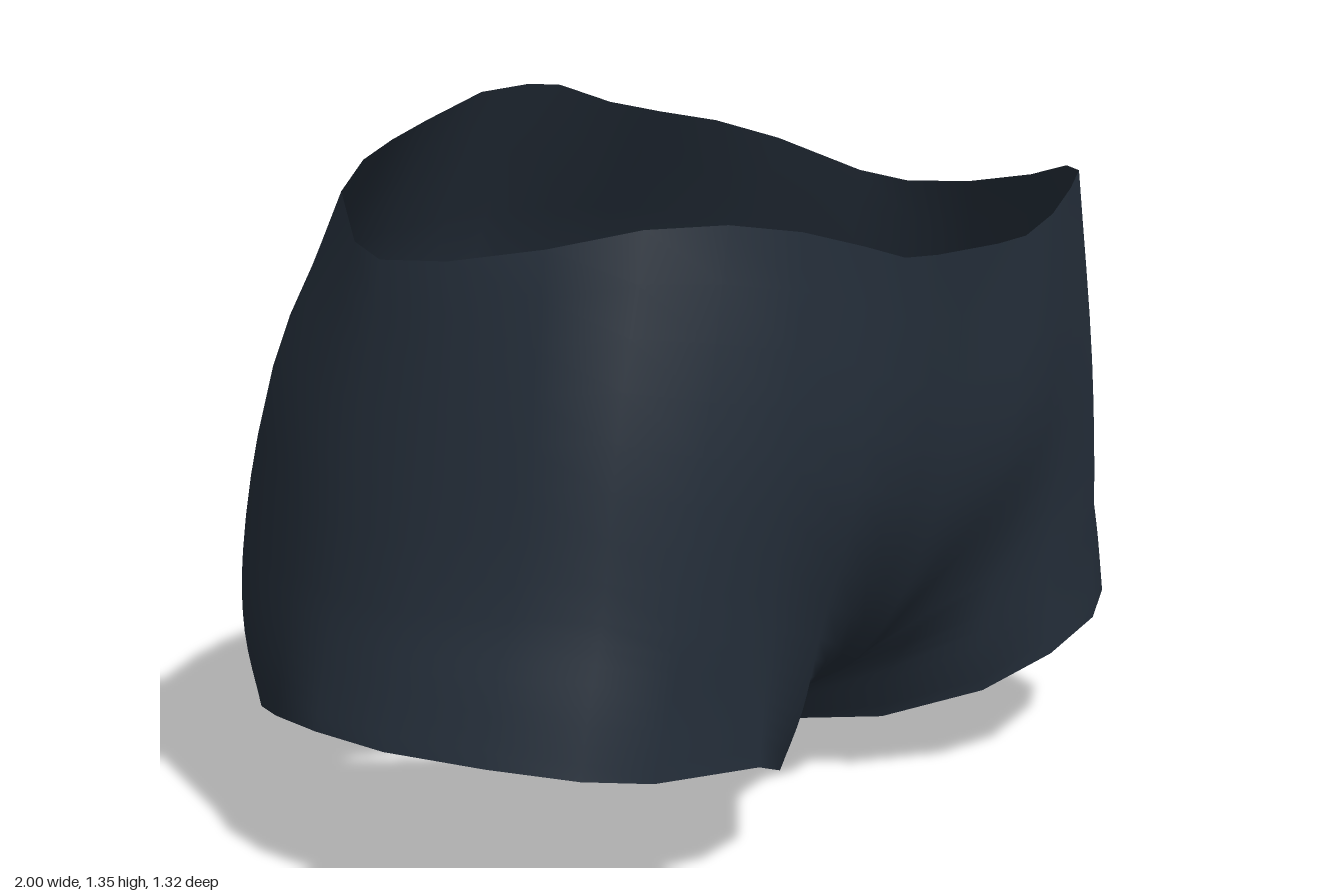
import * as THREE from 'three';
import { mergeVertices } from 'three/addons/utils/BufferGeometryUtils.js';

// Half cross-sections, each running front centre -> left side -> back centre.
const waist = [
  [0, 1.1, .657], [.1, 1.1, .657], [.2, 1.105, .655], [.31, 1.135, .645], [.44, 1.17, .605],
  [.57, 1.19, .545], [.68, 1.185, .45], [.77, 1.15, .31], [.82, 1.12, .13], [.82, 1.11, -.03],
  [.78, 1.13, -.13], [.67, 1.2, -.27], [.54, 1.243, -.34], [.41, 1.268, -.39], [.28, 1.295, -.42],
  [.12, 1.34, -.42], [0, 1.35, -.4],
];
const hips = [
  [0, .62, .6], [.09, .63, .607], [.19, .67, .627], [.3, .71, .63], [.46, .77, .592],
  [.64, .8, .545], [.76, .83, .455], [.83, .82, .32], [.88, .78, .13], [.88, .78, -.05],
  [.84, .79, -.2], [.735, .82, -.41], [.56, .83, -.575], [.41, .84, -.63], [.25, .84, -.635],
  [.1, .82, -.61], [0, .8, -.59],
];
const seat = [
  [0, .28, .41], [.06, .31, .425], [.15, .36, .48], [.29, .41, .54], [.47, .47, .56],
  [.68, .5, .535], [.8, .53, .455], [.88, .53, .32], [.93, .52, .13], [.925, .52, -.05],
  [.88, .53, -.21], [.775, .52, -.445], [.59, .48, -.605], [.43, .46, -.643], [.26, .45, -.64],
  [.1, .41, -.56], [0, .31, -.38],
];
const crotch = [
  [0, .11, .04], [.04, .155, .19], [.16, .23, .39], [.3, .27, .51], [.475, .34, .555],
  [.7, .36, .52], [.835, .39, .455], [.92, .4, .32], [.965, .4, .13], [.955, .4, -.05],
  [.905, .4, -.21], [.795, .37, -.425], [.59, .31, -.555], [.42, .28, -.575], [.24, .26, -.54],
  [.09, .22, -.35], [0, .11, .04],
];
const hem = [
  [.05, 0, .03], [.08, .1, .13], [.19, .12, .35], [.34, .165, .49], [.49, .22, .555],
  [.73, .24, .51], [.86, .265, .455], [.95, .283, .32], [1, .29, .13], [.985, .29, -.05],
  [.935, .28, -.2], [.8, .235, -.38], [.59, .155, -.48], [.42, .115, -.47], [.24, .105, -.375],
  [.12, .105, -.25], [.05, 0, .03],
];

// Lofts the sections into a smooth-shaded sheet and mirrors it across the centre seam.
function shellGeometry(sections, down) {
  const last = sections[0].length - 1;
  const positions = [];
  const index = [];
  for (const side of [1, -1]) {
    const base = positions.length / 3;
    for (let i = 0; i <= last; i++) {
      const column = new THREE.CatmullRomCurve3(sections.map((s) => new THREE.Vector3(...s[i])));
      const onSeam = i === 0 || i === last;
      for (let j = 0; j <= down; j++) {
        const p = column.getPoint(j / down);
        // The centre seam stays on the mirror plane down to the crotch.
        const x = onSeam && j / down <= .75 ? 0 : p.x;
        positions.push(side * x, p.y, p.z);
      }
    }
    for (let i = 0; i < last; i++) {
      for (let j = 0; j < down; j++) {
        const a = base + i * (down + 1) + j;
        const b = a + 1;
        const c = a + down + 1;
        const d = c + 1;
        if (side > 0) index.push(a, b, c, b, d, c);
        else index.push(a, c, b, b, c, d);
      }
    }
  }
  const geometry = new THREE.BufferGeometry();
  geometry.setAttribute('position', new THREE.Float32BufferAttribute(positions, 3));
  geometry.setIndex(index);
  const welded = mergeVertices(geometry, 1e-4);
  welded.computeVertexNormals();
  return welded;
}

export function createModel() {
  const group = new THREE.Group();
  group.name = 'shorts';

  const fabric = new THREE.MeshStandardMaterial({ color: 0x252f3b, side: THREE.DoubleSide });
  fabric.name = 'dark slate fabric';

  const shell = new THREE.Mesh(shellGeometry([waist, hips, seat, crotch, hem], 16), fabric);
  shell.name = 'shortsShell';
  group.add(shell);
  return group;
}
